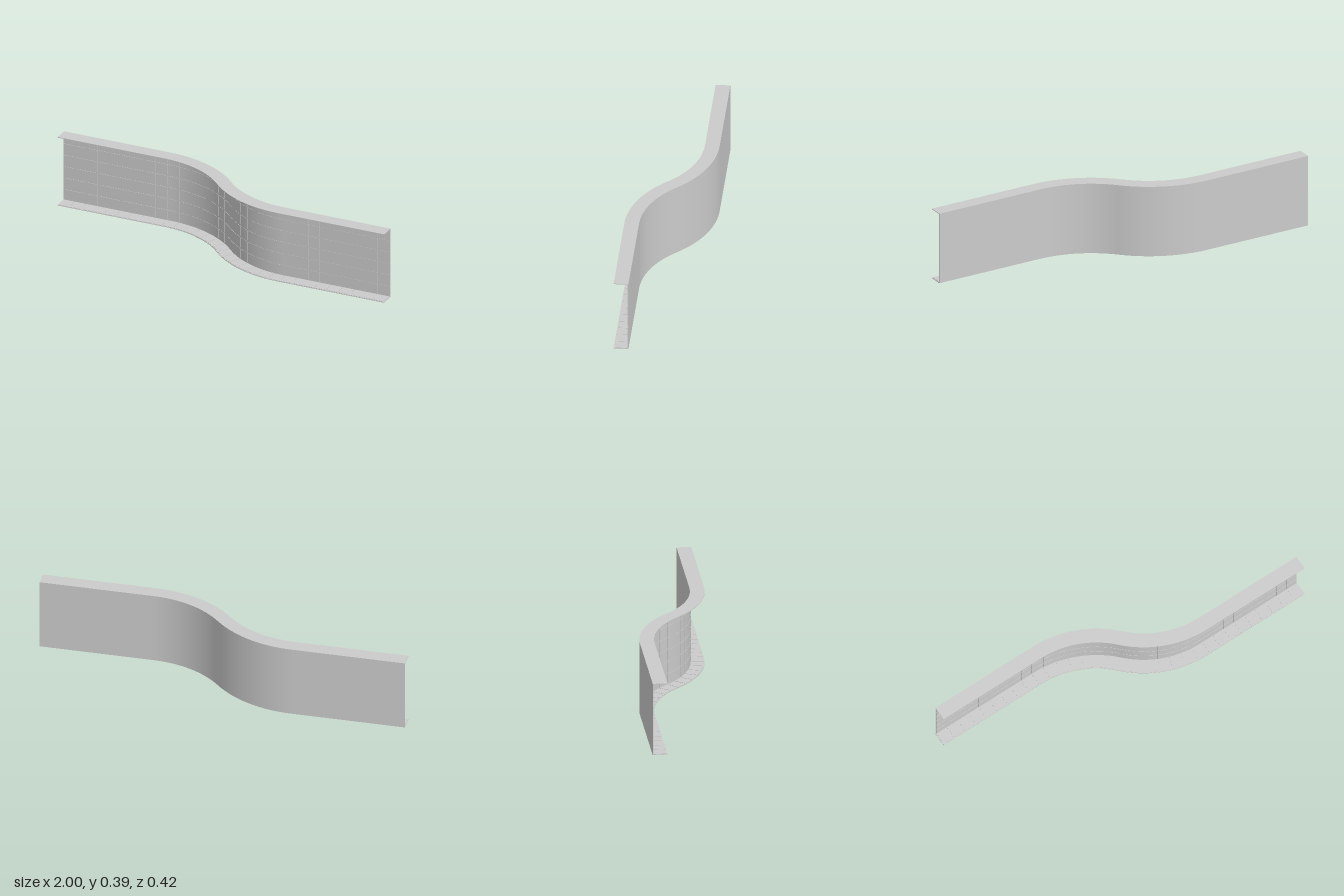
import * as THREE from 'three';
import { mergeGeometries } from 'three/addons/utils/BufferGeometryUtils.js';

// S-bend path in plan: two equal arcs joined by straight ends, point-symmetric about the origin
const HEIGHT = 0.39, HALF = 0.038, SHEET = 0.003, TILE = 0.0016, GAP = 0.007;
const BEND_X = 0.4, BEND_Z = 0.171;
const ANGLE = 2 * Math.atan(BEND_Z / BEND_X);
const RADIUS = BEND_X / Math.sin(ANGLE);
const ARC = RADIUS * ANGLE;
const HALF_LENGTH = ARC + 1 - BEND_X;
const COLUMNS = 32, ROWS = 6;

// Position and heading at signed distance s along the path
function pathAt(s) {
  const d = Math.abs(s), sign = Math.sign(s);
  const heading = Math.max(0, ANGLE - d / RADIUS);
  const x = RADIUS * (Math.sin(ANGLE) - Math.sin(heading)) + Math.max(0, d - ARC);
  const z = RADIUS * (Math.cos(heading) - Math.cos(ANGLE));
  return { x: x * sign, z: z * sign, heading };
}

// A box from distance s0 to s1, height y0 to y1 and sideways offset n0 to n1, bent along the path
function bentBox(s0, s1, y0, y1, n0, n1, segments) {
  const g = new THREE.BoxGeometry(s1 - s0, y1 - y0, n1 - n0, segments, 1, 1);
  g.translate((s0 + s1) / 2, (y0 + y1) / 2, (n0 + n1) / 2);
  const p = g.attributes.position, n = g.attributes.normal;
  for (let i = 0; i < p.count; i++) {
    const { x, z, heading } = pathAt(p.getX(i));
    const c = Math.cos(heading), s = Math.sin(heading);
    const off = p.getZ(i), nx = n.getX(i), nz = n.getZ(i);
    p.setXYZ(i, x - s * off, p.getY(i), z + c * off);
    n.setXYZ(i, c * nx - s * nz, n.getY(i), s * nx + c * nz);
  }
  return g;
}

export function createModel() {
  const group = new THREE.Group();
  const material = new THREE.MeshStandardMaterial({ color: 0xcccccc });
  const add = (name, geometry) => {
    const mesh = new THREE.Mesh(geometry, material);
    mesh.name = name;
    group.add(mesh);
  };
  const L = HALF_LENGTH, back = -HALF, face = back + SHEET;

  // Channel: upright web with a flange along the top and bottom
  add('web', bentBox(-L, L, SHEET, HEIGHT - SHEET, back, face, 128));
  add('bottomFlange', bentBox(-L, L, 0, SHEET, back, HALF, 128));
  add('topFlange', bentBox(-L, L, HEIGHT - SHEET, HEIGHT, back, HALF, 128));

  // Raised tiles lining the inside of the channel
  const webTiles = [], bottomTiles = [], topTiles = [];
  const step = 2 * L / COLUMNS, rowStep = HEIGHT / ROWS, inset = GAP / 2;
  for (let c = 0; c < COLUMNS; c++) {
    const s0 = -L + c * step + inset, s1 = s0 + step - GAP;
    for (let r = 0; r < ROWS; r++) {
      const y0 = Math.max(r * rowStep + inset, SHEET + TILE + 0.002);
      const y1 = Math.min((r + 1) * rowStep - inset, HEIGHT - SHEET - TILE - 0.002);
      webTiles.push(bentBox(s0, s1, y0, y1, face, face + TILE, 4));
    }
    const n0 = face + TILE + 0.002, n1 = HALF - inset;
    bottomTiles.push(bentBox(s0, s1, SHEET, SHEET + TILE, n0, n1, 4));
    topTiles.push(bentBox(s0, s1, HEIGHT - SHEET - TILE, HEIGHT - SHEET, n0, n1, 4));
  }
  add('webTiles', mergeGeometries(webTiles));
  add('bottomFlangeTiles', mergeGeometries(bottomTiles));
  add('topFlangeTiles', mergeGeometries(topTiles));
  return group;
}
